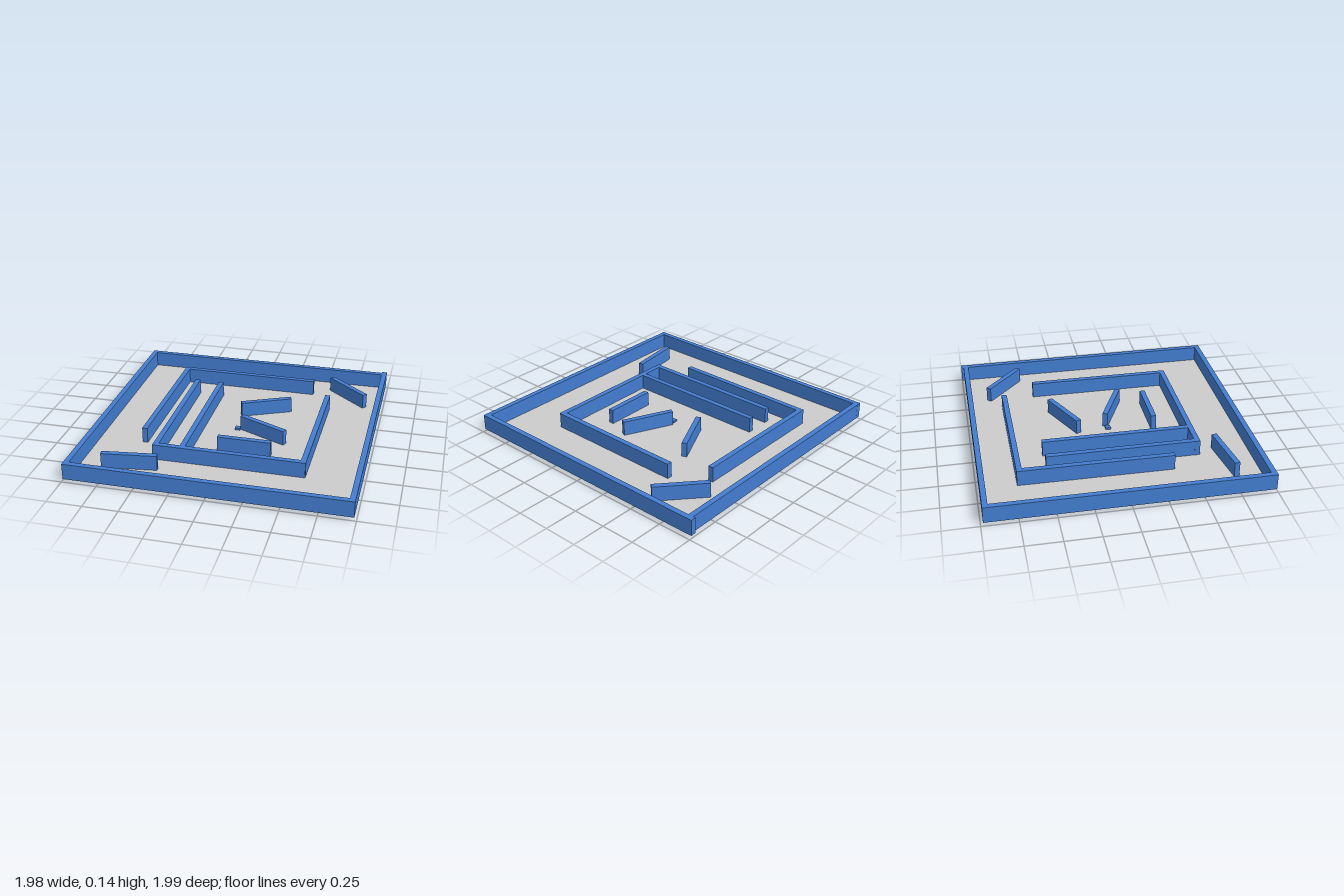
import * as THREE from 'three';
import { mergeGeometries } from 'three/addons/utils/BufferGeometryUtils.js';

const BLOCK = 0.0387;
const BASE = 0.021;   // underside of the straight walls
const LOW = 0.017;    // underside of the short loose walls

// A wall of cubes, three courses high, from end to end of a centre line.
function makeWall(name, material, [x1, z1], [x2, z2], base) {
  const length = Math.hypot(x2 - x1, z2 - z1);
  const count = Math.round(length / BLOCK);
  const pitch = length / count;
  const cubes = [];
  for (let row = 0; row < 3; row++) {
    for (let i = 0; i < count; i++) {
      const cube = new THREE.BoxGeometry(pitch, BLOCK, BLOCK);
      cube.translate((i + 0.5) * pitch, (row + 0.5) * BLOCK, 0);
      cubes.push(cube);
    }
  }
  const wall = new THREE.Mesh(mergeGeometries(cubes), material);
  wall.name = name;
  wall.position.set(x1, base, z1);
  wall.rotation.y = -Math.atan2(z2 - z1, x2 - x1);
  return wall;
}

export function createModel() {
  const group = new THREE.Group();
  group.name = 'blockMaze';
  const blue = new THREE.MeshStandardMaterial({ color: 0x437dd0 });
  const grey = new THREE.MeshStandardMaterial({ color: 0xcccccc, side: THREE.DoubleSide });

  // Thin floor
  const floor = new THREE.Mesh(new THREE.PlaneGeometry(1.94, 1.94), grey);
  floor.name = 'floor';
  floor.rotation.x = -Math.PI / 2;
  floor.position.set(-0.005, 0.0235, 0.005);
  group.add(floor);

  // Each wall: name, start [x, z], end [x, z], underside height
  const walls = [
    // Outer enclosure
    ['outerWallBack', [-0.989, -0.963], [0.983, -0.963], BASE],
    ['outerWallFront', [-0.989, 0.974], [0.983, 0.974], BASE],
    ['outerWallRight', [-0.972, -0.983], [-0.972, 0.993], BASE],
    ['outerWallLeft', [0.965, -1], [0.965, 0.993], BASE],
    // Inner courtyard
    ['innerWallBack', [-0.624, -0.704], [0.436, -0.704], BASE],
    ['innerWallRight', [-0.606, -0.72], [-0.613, 0.376], BASE],
    ['corridorWallOuter', [-0.465, -0.506], [-0.465, 0.59], BASE],
    ['corridorWallInner', [-0.275, -0.506], [-0.275, 0.578], BASE],
    ['innerWallLeft', [0.583, -0.468], [0.58, 0.59], BASE],
    ['innerWallFront', [-0.486, 0.577], [0.595, 0.577], BASE],
    // Short loose walls
    ['cornerWallBack', [0.569, -0.812], [0.86, -0.553], LOW],
    ['cornerWallFront', [-0.795, 0.772], [-0.407, 0.72], LOW],
    ['slantedWallBack', [-0.036, -0.202], [0.315, -0.367], LOW],
    ['slantedWallMiddle', [0.02, 0.006], [0.372, 0.169], LOW],
    ['shortStraightWall', [-0.077, 0.354], [0.31, 0.354], LOW],
  ];
  for (const [name, start, end, base] of walls) {
    group.add(makeWall(name, blue, start, end, base));
  }

  // Single block sunk through the floor
  const block = new THREE.Mesh(new THREE.BoxGeometry(BLOCK, BLOCK, BLOCK), blue);
  block.name = 'centreBlock';
  block.position.set(-0.01, BLOCK / 2, 0.021);
  group.add(block);

  return group;
}
